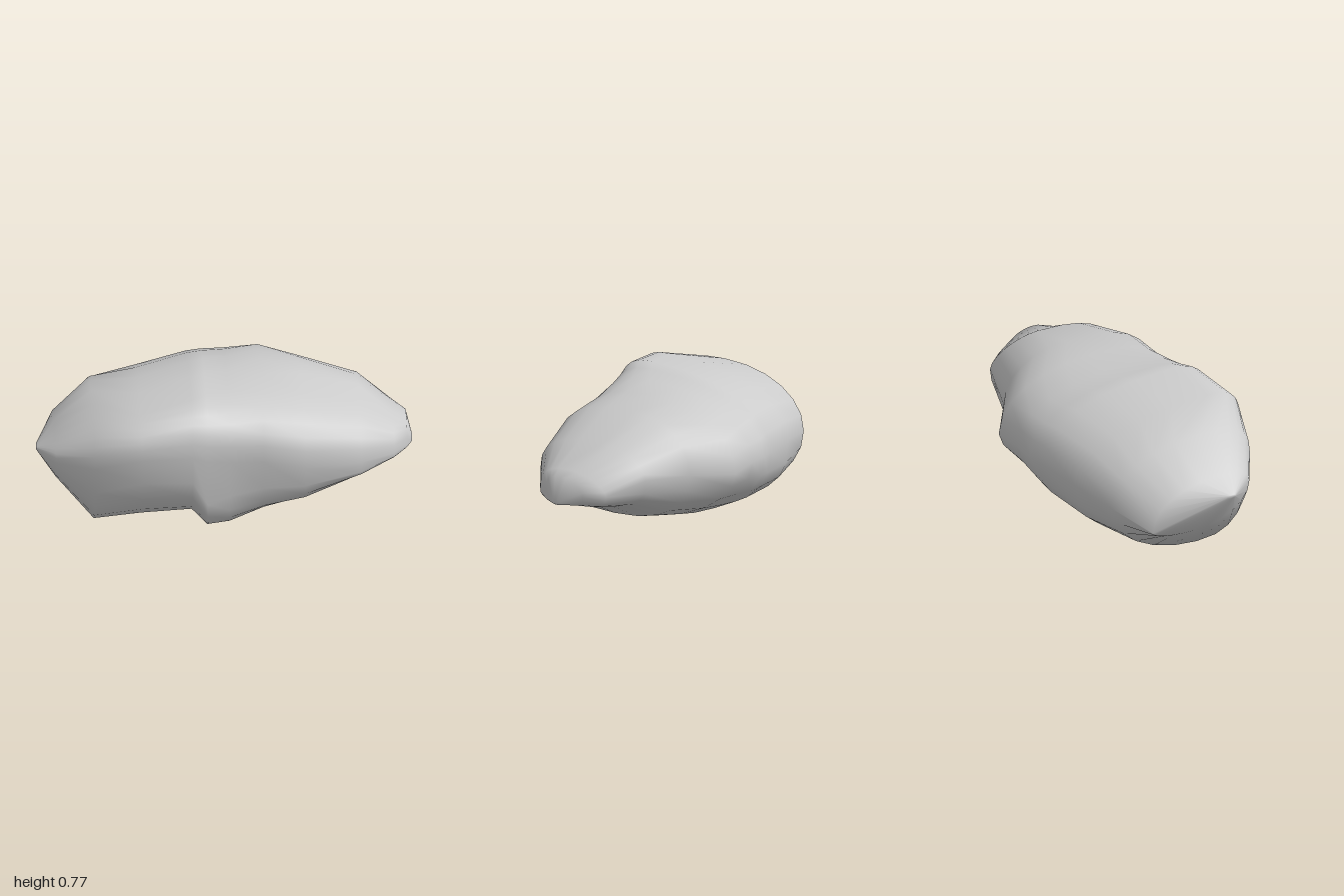
import * as THREE from 'three';

// Cross-sections along x: [x, topY, topZ, bottomY, bottomZ, frontZ, frontY,
// backZ, backY, lower front fullness, lower back fullness]
const SECTIONS = [
  [-1.0, 0.46, 0.23, 0.44, 0.22, 0.25, 0.45, 0.20, 0.45, 2.0, 2.0],
  [-0.90, 0.53, 0.20, 0.23, 0.05, 0.38, 0.45, -0.19, 0.28, 2.0, 2.0],
  [-0.70, 0.68, 0.18, 0.015, 0.17, 0.485, 0.48, -0.34, 0.37, 2.6, 2.0],
  [-0.45, 0.735, 0.36, 0.03, 0.15, 0.545, 0.57, -0.42, 0.39, 2.2, 2.6],
  [-0.18, 0.77, 0.28, 0.03, 0.10, 0.49, 0.54, -0.50, 0.40, 2.5, 2.3],
  [-0.10, 0.755, 0.22, 0.01, 0.16, 0.475, 0.50, -0.52, 0.40, 5.0, 2.1],
  [0.02, 0.735, 0.15, 0.0, 0.20, 0.455, 0.48, -0.53, 0.40, 3.6, 1.9],
  [0.20, 0.72, 0.0, 0.05, 0.12, 0.435, 0.46, -0.55, 0.38, 3.2, 1.8],
  [0.42, 0.69, -0.04, 0.11, 0.08, 0.44, 0.42, -0.41, 0.40, 3.0, 2.3],
  [0.72, 0.59, -0.06, 0.25, 0.05, 0.35, 0.38, -0.34, 0.43, 4.0, 3.0],
  [0.90, 0.47, 0.03, 0.285, 0.03, 0.22, 0.34, -0.21, 0.36, 3.5, 3.0],
  [0.97, 0.45, 0.03, 0.30, 0.04, 0.14, 0.33, -0.11, 0.36, 3.0, 3.0],
  [1.0, 0.33, 0.04, 0.30, 0.04, 0.07, 0.31, 0.01, 0.31, 2.0, 2.0],
];
const SIDES = 24;

// Point of a section: each quadrant is a superellipse between two extreme points
function sectionPoint(s, j) {
  const [x, topY, topZ, botY, botZ, frontZ, frontY, backZ, backY, lowFront, lowBack] = s;
  const a = (j / SIDES) * Math.PI * 2;
  const c = Math.cos(a), d = Math.sin(a);
  const front = c >= 0, up = d >= 0;
  const upBack = x > 0.5 ? 1.7 : 2.1;
  const n = up ? (front ? 2.7 : upBack) : (front ? lowFront : lowBack);
  const u = Math.pow(Math.abs(c), 2 / n), v = Math.pow(Math.abs(d), 2 / n);
  const sideZ = front ? frontZ : backZ, sideY = front ? frontY : backY;
  const endZ = up ? topZ : botZ, endY = up ? topY : botY;
  return [x, sideY + (endY - sideY) * v, endZ + (sideZ - endZ) * u];
}

// Skin the rings and close both tips
function boulderGeometry() {
  const pos = [], index = [];
  for (const s of SECTIONS) {
    for (let j = 0; j < SIDES; j++) pos.push(...sectionPoint(s, j));
  }
  const last = SECTIONS.length - 1;
  for (let i = 0; i < last; i++) {
    for (let j = 0; j < SIDES; j++) {
      const k = (j + 1) % SIDES;
      const a = i * SIDES + j, b = a + SIDES;
      const c = i * SIDES + k, d = c + SIDES;
      index.push(a, b, c, b, d, c);
    }
  }
  const tipA = pos.length / 3, tipB = tipA + 1;
  pos.push(-1, 0.45, 0.23, 1, 0.31, 0.04);
  for (let j = 0; j < SIDES; j++) {
    const k = (j + 1) % SIDES;
    index.push(tipA, j, k, tipB, last * SIDES + k, last * SIDES + j);
  }
  const geo = new THREE.BufferGeometry();
  geo.setAttribute('position', new THREE.Float32BufferAttribute(pos, 3));
  geo.setIndex(index);
  geo.computeVertexNormals();
  return geo;
}

export function createModel() {
  const group = new THREE.Group();
  group.name = 'rock';
  const boulder = new THREE.Mesh(
    boulderGeometry(),
    new THREE.MeshStandardMaterial({ color: 0xcccccc })
  );
  boulder.name = 'boulder';
  group.add(boulder);
  return group;
}
